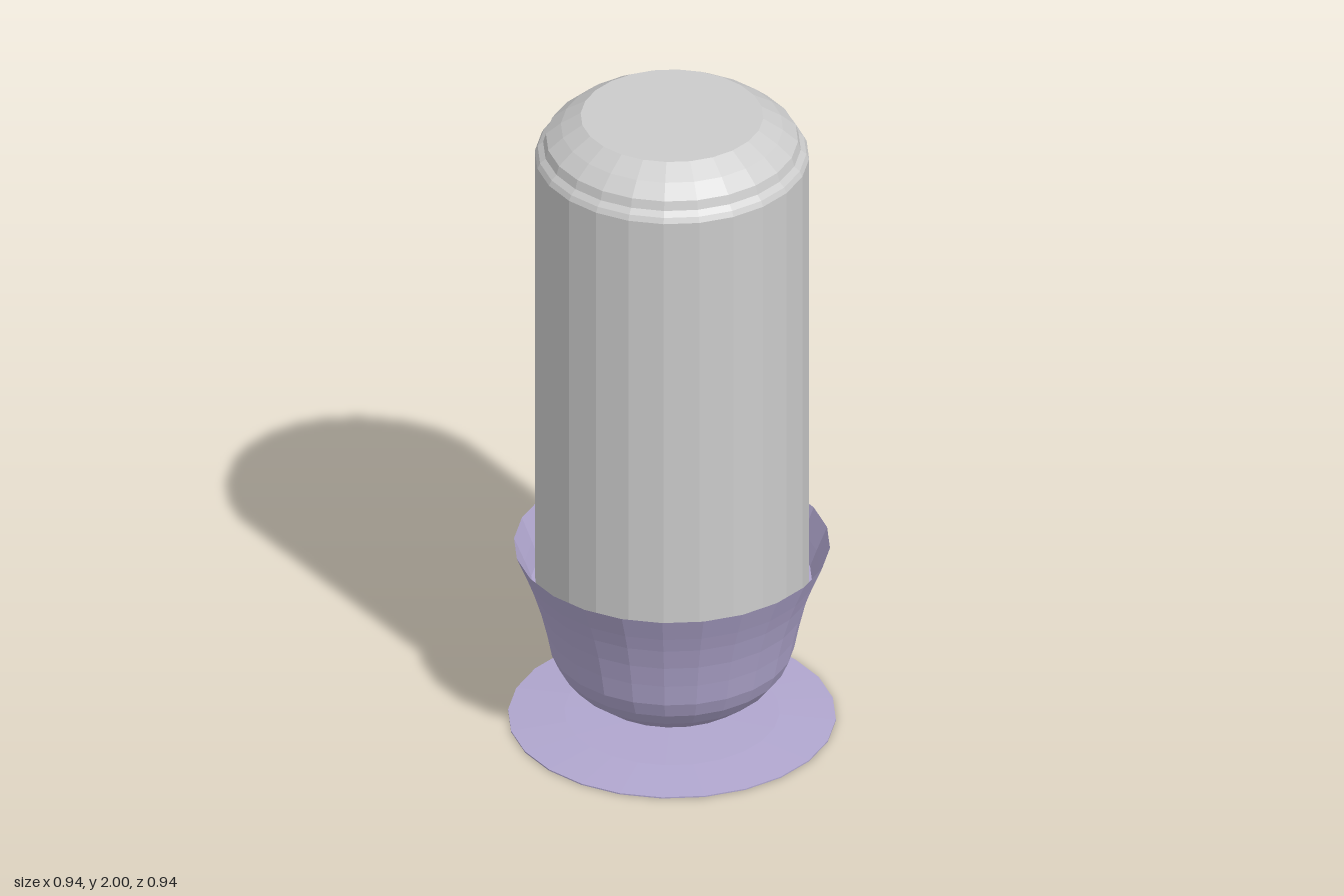
import * as THREE from 'three';

const SEGMENTS = 24;

// Revolve a [radius, height] profile, listed from bottom to top
function turned(name, profile, material) {
  const points = profile.map(([r, y]) => new THREE.Vector2(r, y));
  const mesh = new THREE.Mesh(new THREE.LatheGeometry(points, SEGMENTS), material);
  mesh.name = name;
  return mesh;
}

export function createModel() {
  const grey = new THREE.MeshStandardMaterial({ color: 0xcccccc, flatShading: true });
  const purple = new THREE.MeshStandardMaterial({ color: 0xb0a6ce, flatShading: true });
  const purpleThin = purple.clone();
  purpleThin.side = THREE.DoubleSide;

  const model = new THREE.Group();
  model.name = 'capsuleInCup';

  // Thin foot disc, slightly domed
  model.add(turned('footDisc', [
    [0, 0], [0.472, 0], [0.472, 0.004], [0.31, 0.016], [0, 0.02],
  ], purple));

  // Flared bowl, a thin shell with a pointed underside
  model.add(turned('cup', [
    [0, 0.02], [0.08, 0.032], [0.16, 0.058], [0.235, 0.098], [0.295, 0.145],
    [0.33, 0.19], [0.352, 0.24], [0.366, 0.31], [0.383, 0.38],
    [0.405, 0.45], [0.424, 0.5], [0.455, 0.575],
  ], purpleThin));

  // Flat ledge inside the cup that carries the cylinder
  model.add(turned('cupLedge', [[0.405, 0.45], [0, 0.45]], purple));

  // Tall cylinder with a rounded shoulder and a bevelled flat cap
  model.add(turned('cylinderBody', [
    [0, 0.452], [0.395, 0.452], [0.395, 1.87], [0.387, 1.886],
    [0.371, 1.9], [0.363, 1.927], [0.32, 1.964], [0.263, 2], [0, 2],
  ], grey));

  return model;
}
